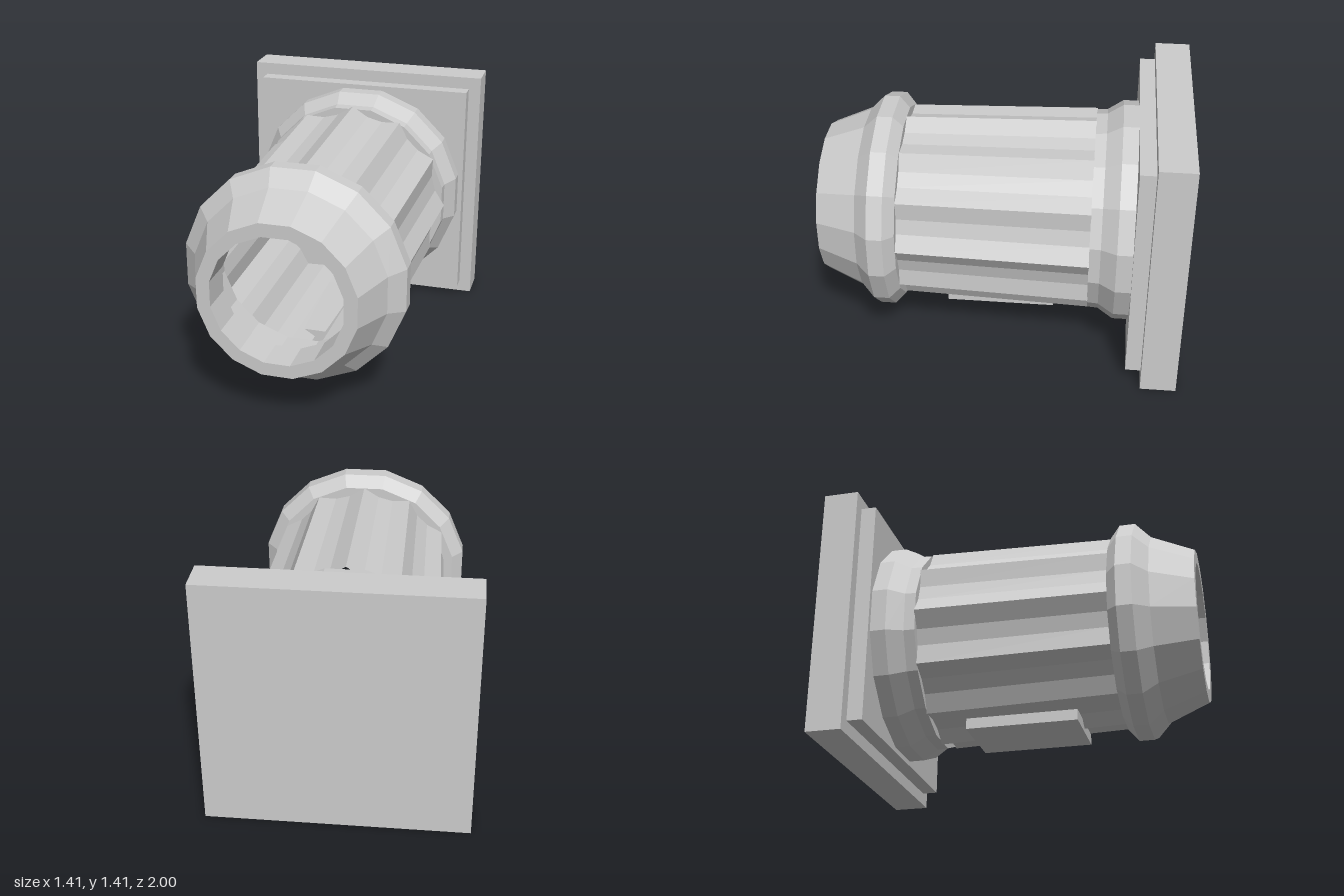
import * as THREE from 'three';

export function createModel() {
  const group = new THREE.Group();
  const CY = 0.705; // height of the horizontal axis
  const stone = new THREE.MeshStandardMaterial({ color: 0xcccccc });
  stone.name = 'stone grey';
  stone.flatShading = true;
  stone.side = THREE.DoubleSide;

  const add = (name, geometry, y, z) => {
    const mesh = new THREE.Mesh(geometry, stone);
    mesh.name = name;
    mesh.position.set(0, y, z);
    group.add(mesh);
    return mesh;
  };

  // Turned part along z; profile is [radius, z], corners outside, flats on the axes
  const turned = (name, profile) => {
    const points = profile.map(([r, z]) => new THREE.Vector2(r, z));
    const geometry = new THREE.LatheGeometry(points, 16, Math.PI / 16);
    geometry.rotateX(Math.PI / 2);
    return add(name, geometry, CY, 0);
  };

  // Hollow flared mouth with a rounded band and an inner lip
  turned('mouthRing', [
    [0.45, 0.55], [0.545, 0.55], [0.608, 0.605], [0.608, 0.69], [0.525, 0.77],
    [0.428, 1], [0.355, 1], [0.355, 0.81], [0.45, 0.81], [0.45, 0.55],
  ]);

  // Collar where the shaft meets the plates
  turned('rearCollar', [
    [0.46, -0.72], [0.62, -0.72], [0.62, -0.635], [0.566, -0.55], [0.562, -0.49], [0.46, -0.49], [0.46, -0.72],
  ]);

  // Tapered shaft with twelve concave flutes, three facets each
  const shaft = new THREE.LatheGeometry([new THREE.Vector2(0.567, -0.492), new THREE.Vector2(0.537, 0.552)], 36);
  const pos = shaft.attributes.position;
  for (let i = 0; i < pos.count; i++) {
    const column = Math.floor(i / 2);
    const k = column % 3 === 0 ? 1 : 0.914;
    pos.setXYZ(i, pos.getX(i) * k, pos.getY(i), pos.getZ(i) * k);
  }
  shaft.rotateX(Math.PI / 2);
  add('flutedShaft', shaft, CY, 0);

  // Square stepped plates at the back
  add('innerPlate', new THREE.BoxGeometry(1.27, 1.27, 0.085), CY, -0.7625);
  add('backPlate', new THREE.BoxGeometry(1.41, 1.41, 0.195), CY, -0.9025);

  // Flat pad under the shaft
  add('bottomPad', new THREE.BoxGeometry(0.4, 0.06, 0.615), 0.17, 0.0145);

  return group;
}
